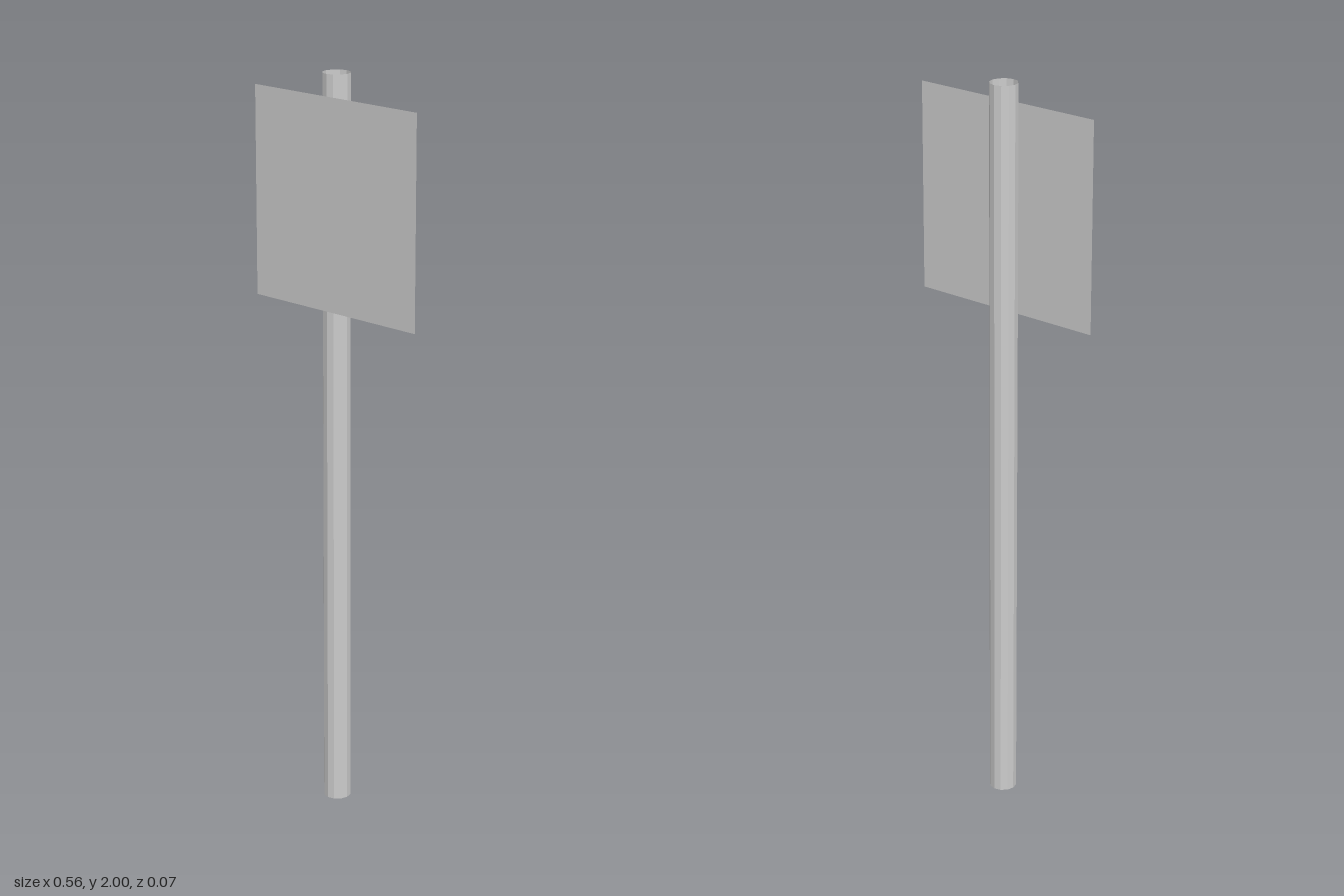
import * as THREE from 'three';

export function createModel() {
  const group = new THREE.Group();
  const material = new THREE.MeshStandardMaterial({
    color: 0xcccccc, flatShading: true, side: THREE.DoubleSide,
  });
  const radius = 0.037;

  // Hollow open-ended pole, set slightly off centre
  const pole = new THREE.Mesh(
    new THREE.CylinderGeometry(radius, radius, 2, 12, 1, true), material);
  pole.name = 'pole';
  pole.position.set(-0.025, 1, 0);
  group.add(pole);

  // Thin square panel touching the front of the pole
  const panel = new THREE.Mesh(new THREE.PlaneGeometry(0.558, 0.558), material);
  panel.name = 'signPanel';
  panel.position.set(0, 1.664, radius);
  group.add(panel);

  return group;
}
